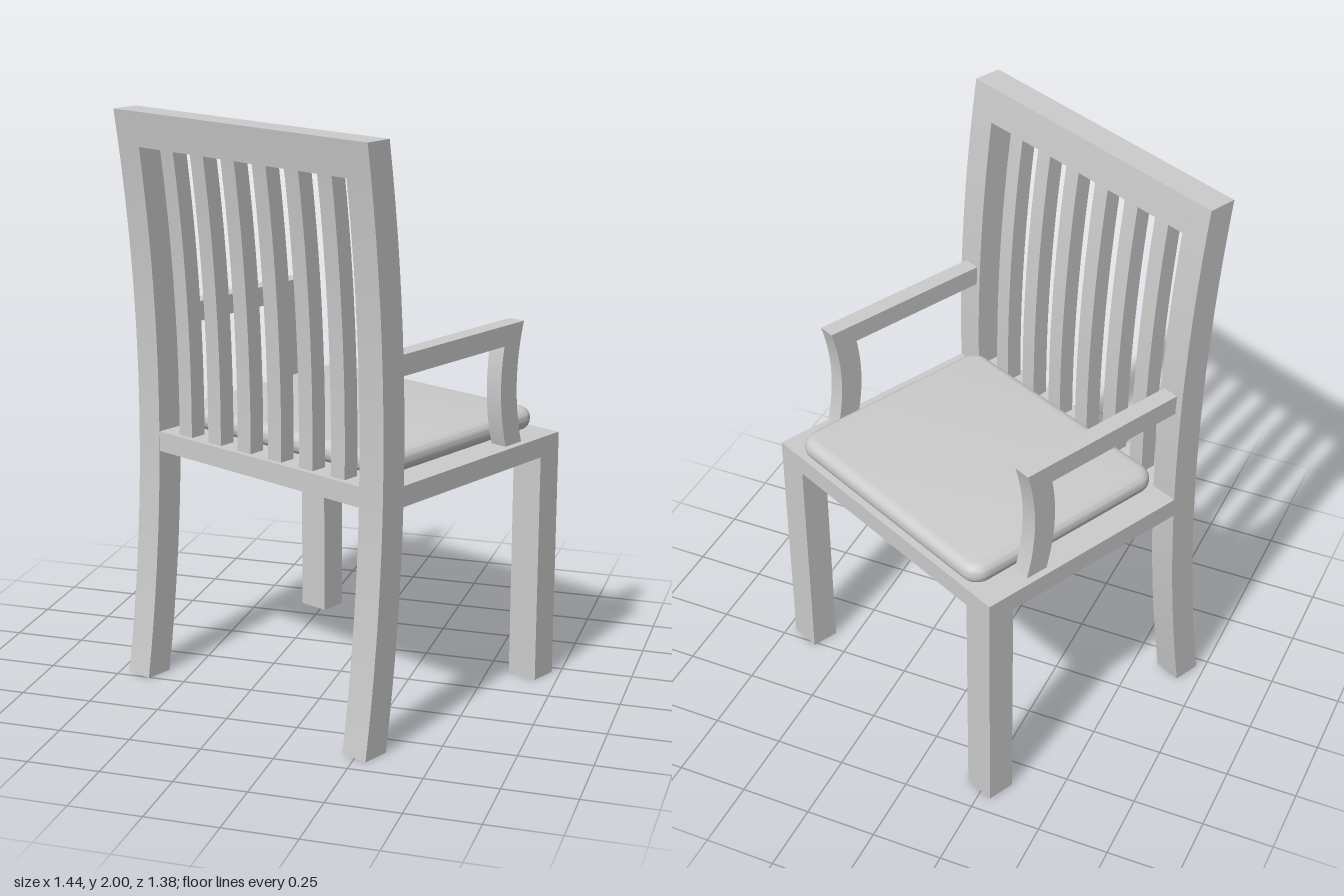
import * as THREE from 'three';
import { toCreasedNormals } from 'three/addons/utils/BufferGeometryUtils.js';

const material = new THREE.MeshStandardMaterial({ color: 0xcccccc });

export function createModel() {
  const chair = new THREE.Group();
  chair.name = 'armchair';

  function add(name, geometry) {
    const mesh = new THREE.Mesh(geometry, material);
    mesh.name = name;
    chair.add(mesh);
    return mesh;
  }

  // Box given by its limits; an optional bow(y) shifts it along z
  function bar(name, [x0, x1], [y0, y1], [z0, z1], bow) {
    const geometry = new THREE.BoxGeometry(x1 - x0, y1 - y0, z1 - z0, 1, bow ? 20 : 1, 1);
    geometry.translate((x0 + x1) / 2, (y0 + y1) / 2, (z0 + z1) / 2);
    if (bow) {
      const p = geometry.attributes.position;
      for (let i = 0; i < p.count; i++) p.setZ(i, p.getZ(i) + bow(p.getY(i)));
      geometry.computeVertexNormals();
    }
    return add(name, geometry);
  }

  // Curve shared by the back posts, slats and top rail
  const backBow = (y) => 0.08 * (y - 1) ** 2;
  // Curve of the arm supports, bent towards the back at mid height
  const armBow = (y) => 0.032 * (1 - ((y - 1.1) / 0.21) ** 2);

  // Seat
  bar('seat', [-0.56, 0.56], [0.82, 0.89], [-0.5, 0.42]);

  // Cushion: rounded square with a soft rim
  const r = 0.035, h = 0.44, d = 0.37, c = 0.03;
  const outline = new THREE.Shape();
  outline.absarc(h - c, d - c, c, 0, Math.PI / 2);
  outline.absarc(-h + c, d - c, c, Math.PI / 2, Math.PI);
  outline.absarc(-h + c, -d + c, c, Math.PI, Math.PI * 1.5);
  outline.absarc(h - c, -d + c, c, Math.PI * 1.5, Math.PI * 2);
  outline.closePath();
  const cushion = new THREE.ExtrudeGeometry(outline, {
    depth: 0.006, bevelThickness: r, bevelSize: r, bevelSegments: 8, curveSegments: 8,
  });
  cushion.rotateX(-Math.PI / 2);
  cushion.translate(0, 0.89 + r, -0.085);
  add('cushion', toCreasedNormals(cushion, 0.7));

  // Legs, posts and arms on both sides
  for (const [side, s] of [['left', -1], ['right', 1]]) {
    const span = (a, b) => (s > 0 ? [a, b] : [-b, -a]);
    bar(side + 'BackPost', span(0.46, 0.56), [0, 2], [0.32, 0.42], backBow);
    bar(side + 'FrontLeg', span(0.445, 0.56), [0, 0.82], [-0.5, -0.4]);
    bar(side + 'ArmSupport', span(0.475, 0.535), [0.89, 1.31], [-0.32, -0.235], armBow);
    bar(side + 'Armrest', span(0.475, 0.535), [1.24, 1.31], [-0.3, 0.335]);
  }

  // Top rail and slats
  bar('topRail', [-0.46, 0.46], [1.88, 2], [0.32, 0.42], backBow);
  for (let i = 0; i < 6; i++) {
    const x = -0.35 + i * 0.14;
    bar('backSlat', [x - 0.03, x + 0.03], [0.89, 1.88], [0.34, 0.4], backBow);
  }

  // The chair stands turned about the vertical
  chair.rotation.y = -0.441;
  const model = new THREE.Group();
  model.add(chair);
  return model;
}
